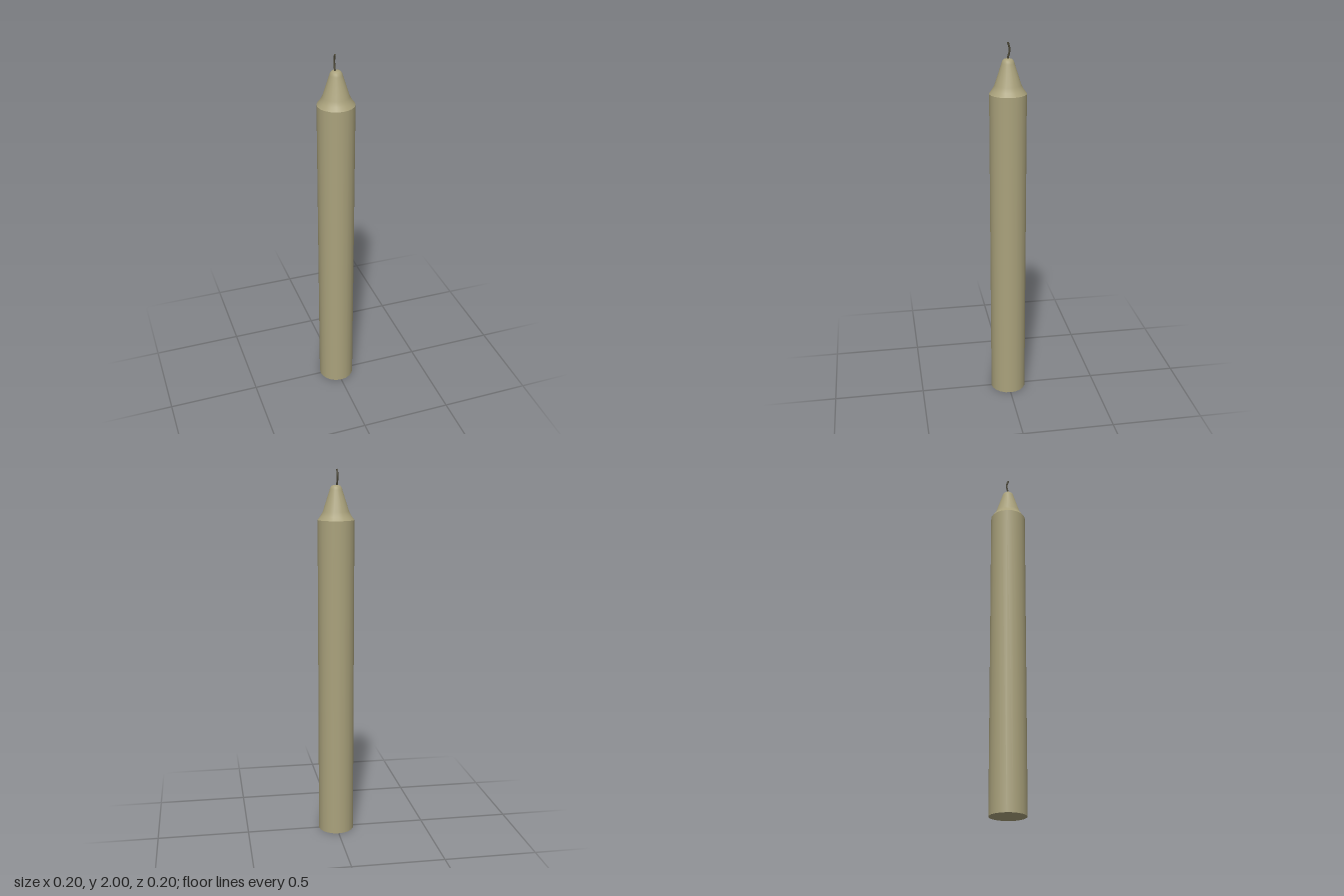
import * as THREE from 'three';

const SIDES = 20;

// Surface of revolution from [radius, height] pairs
function lathe(name, profile, material) {
  const points = profile.map(([r, y]) => new THREE.Vector2(r, y));
  const mesh = new THREE.Mesh(new THREE.LatheGeometry(points, SIDES), material);
  mesh.name = name;
  return mesh;
}

export function createModel() {
  const group = new THREE.Group();
  group.name = 'candle';
  const wax = new THREE.MeshStandardMaterial({ color: 0xaaa27c });
  const burnt = new THREE.MeshStandardMaterial({ color: 0x4a4636 });

  // Wax column: separate lathes keep the rims sharp
  group.add(lathe('base', [[0, 0], [0.098, 0]], wax));
  group.add(lathe('body', [[0.098, 0], [0.098, 1.738]], wax));

  // Sloping shoulder, steep neck and rounded tip
  group.add(lathe('taperedTop', [
    [0.098, 1.738], [0.083, 1.758], [0.07, 1.782], [0.034, 1.893],
    [0.03, 1.906], [0.022, 1.915], [0.011, 1.918], [0, 1.918],
  ], wax));

  // Slightly bowed wick, closed at its upper end
  const path = new THREE.CatmullRomCurve3([
    [0, 1.905], [-0.001, 1.925], [-0.007, 1.945], [-0.009, 1.965], [-0.005, 1.985], [0, 1.999],
  ].map(([z, y]) => new THREE.Vector3(-0.006, y, z)));
  const wick = new THREE.Group();
  wick.name = 'wick';
  const strand = new THREE.Mesh(new THREE.TubeGeometry(path, 12, 0.005, 8), burnt);
  strand.name = 'wickStrand';
  const end = new THREE.Mesh(new THREE.CircleGeometry(0.005, 8), burnt);
  end.name = 'wickEnd';
  end.position.copy(path.getPoint(1));
  end.quaternion.setFromUnitVectors(new THREE.Vector3(0, 0, 1), path.getTangent(1));
  wick.add(strand, end);
  group.add(wick);

  return group;
}
